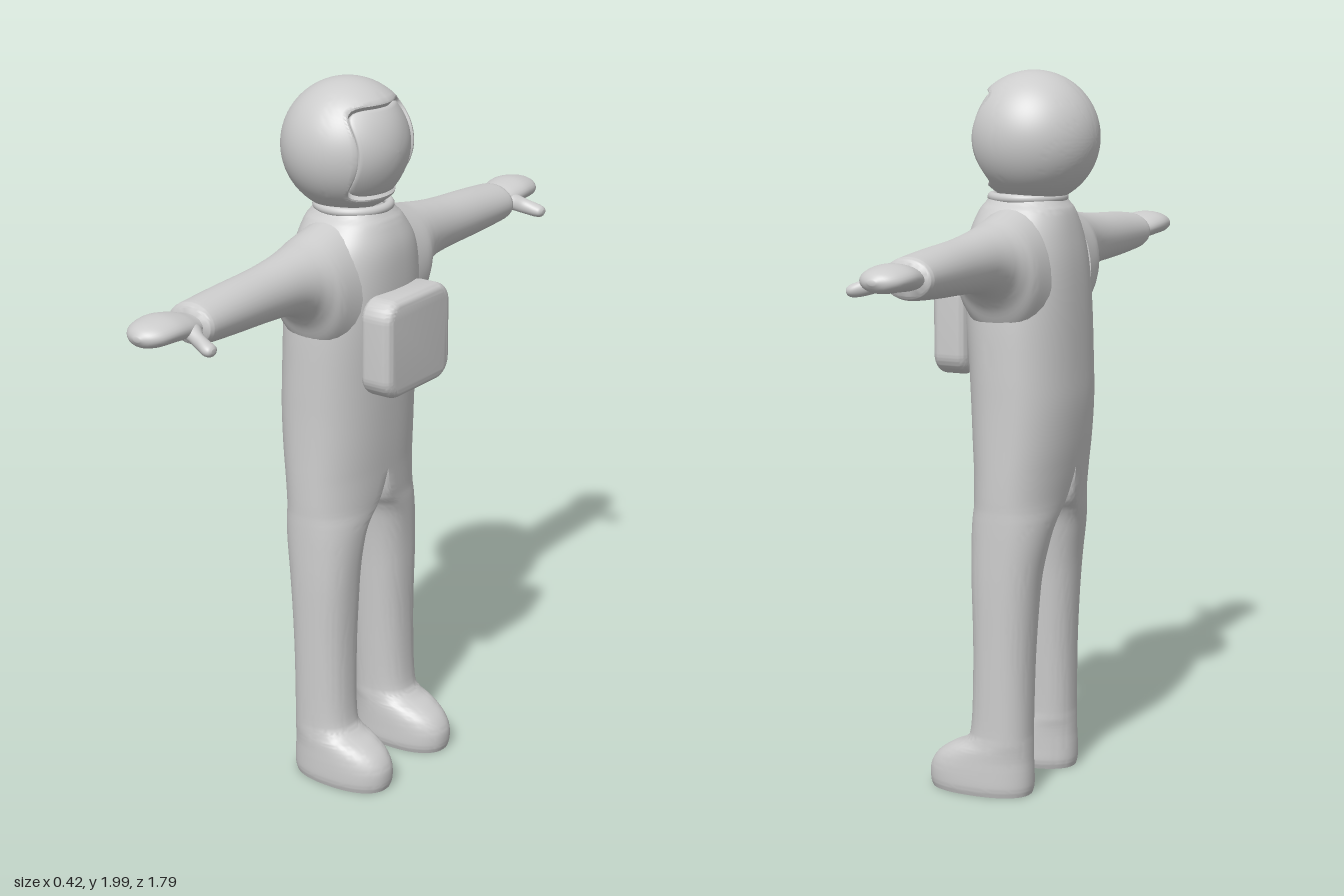
import * as THREE from 'three';
import { toCreasedNormals } from 'three/addons/utils/BufferGeometryUtils.js';

const TAU = Math.PI * 2;
const lerp = THREE.MathUtils.lerp;
const suitGrey = new THREE.MeshStandardMaterial({ color: 0xcccccc });
suitGrey.name = 'suit grey';

// Closed rings of points: point(row, t) returns [x, y, z]
function loft(rows, cols, point) {
  const pos = [], idx = [];
  rows.forEach((row) => {
    for (let j = 0; j < cols; j++) pos.push(...point(row, (j / cols) * TAU));
  });
  for (let i = 0; i < rows.length - 1; i++) {
    for (let j = 0; j < cols; j++) {
      const k = (j + 1) % cols;
      const a = i * cols + j, b = a + cols, c = i * cols + k, d = c + cols;
      idx.push(a, b, c, b, d, c);
    }
  }
  const g = new THREE.BufferGeometry();
  g.setAttribute('position', new THREE.Float32BufferAttribute(pos, 3));
  g.setIndex(idx);
  g.computeVertexNormals();
  return g;
}

// Fill in rows with a Catmull-Rom curve through every column
function smooth(rows, n = 5) {
  const out = [], last = rows.length - 1;
  for (let i = 0; i < last; i++) {
    const [p, a, b, q] = [rows[Math.max(i - 1, 0)], rows[i], rows[i + 1], rows[Math.min(i + 2, last)]];
    for (let s = 0; s < n; s++) {
      const t = s / n;
      out.push(a.map((v, c) => {
        const square = 2 * p[c] - 5 * v + 4 * b[c] - q[c];
        const cube = 3 * (v - b[c]) + q[c] - p[c];
        return v + 0.5 * t * (b[c] - p[c] + t * (square + t * cube));
      }));
    }
  }
  out.push(rows[last]);
  return out;
}

// Shrink a row [s, lo, hi, lo, hi] to its centre to close an end
function capRow([s, a, b, c, d]) {
  return [s, (a + b) / 2, (a + b) / 2, (c + d) / 2, (c + d) / 2];
}

// Rounded limb: along z rows are [z, yLo, yHi, xLo, xHi], along x [x, yLo, yHi, zLo, zHi]
function limb(rows, alongX = false) {
  const r = smooth(rows);
  return loft([capRow(r[0]), ...r, capRow(r[r.length - 1])], 32, ([s, a, b, c, d], t) => {
    const u = alongX ? Math.cos(t) : -Math.sin(t);
    const v = alongX ? -Math.sin(t) : Math.cos(t);
    const y = (a + b) / 2 + ((b - a) / 2) * u;
    const w = (c + d) / 2 + ((d - c) / 2) * v;
    return alongX ? [s, y, w] : [w, y, s];
  });
}

// Copy reflected across the z = 0 plane
function mirrored(geo) {
  const g = geo.index ? geo.toNonIndexed() : geo.clone();
  for (const name of ['position', 'normal']) {
    const at = g.attributes[name];
    for (let i = 0; i < at.count; i += 3) {
      const v = [0, 1, 2].map((k) => new THREE.Vector3().fromBufferAttribute(at, i + k));
      [0, 2, 1].forEach((k, n) => at.setXYZ(i + n, v[k].x, v[k].y, -v[k].z));
    }
  }
  return g;
}

// Half of the suit: [y, xBack, xFront, zInner, zOuter, leg amount]
function halfSuit() {
  const rows = smooth([
    [0.008, -0.095, 0.2, 0.065, 0.228, 1],
    [0.03, -0.1, 0.206, 0.058, 0.234, 1],
    [0.07, -0.1, 0.204, 0.058, 0.234, 1],
    [0.105, -0.098, 0.183, 0.059, 0.232, 1],
    [0.132, -0.097, 0.145, 0.061, 0.23, 1],
    [0.155, -0.096, 0.098, 0.063, 0.227, 1],
    [0.2, -0.095, 0.076, 0.064, 0.225, 1],
    [0.4, -0.098, 0.07, 0.055, 0.226, 1],
    [0.6, -0.111, 0.076, 0.044, 0.228, 1],
    [0.72, -0.13, 0.083, 0.038, 0.227, 0.85],
    [0.78, -0.141, 0.088, 0.032, 0.226, 0.62],
    [0.815, -0.147, 0.091, 0.004, 0.225, 0.4],
    [0.85, -0.153, 0.095, 0, 0.225, 0.2],
    [0.92, -0.165, 0.101, 0, 0.224, 0],
    [1.0, -0.175, 0.107, 0, 0.222, 0],
    [1.1, -0.182, 0.113, 0, 0.22, 0],
    [1.2, -0.181, 0.119, 0, 0.219, 0],
    [1.36, -0.177, 0.131, 0, 0.215, 0],
    [1.48, -0.17, 0.135, 0, 0.2, 0],
    [1.56, -0.158, 0.13, 0, 0.175, 0],
    [1.62, -0.143, 0.11, 0, 0.135, 0],
    [1.645, -0.128, 0.093, 0, 0.11, 0],
    [1.665, -0.115, 0.08, 0, 0.095, 0],
  ]);
  const sole = [rows[0][0], 0.05, 0.05, 0.147, 0.147, 1];
  const power = (v) => Math.sign(v) * Math.abs(v) ** (2 / 2.3);
  const raw = loft([sole, ...rows], 64, ([y, x0, x1, z0, z1, k], t) => {
    const c = power(Math.cos(t)), s = power(Math.sin(t));
    const legZ = (z0 + z1) / 2 + ((z1 - z0) / 2) * s;
    const z = lerp(z1 * Math.max(0, s), legZ, THREE.MathUtils.clamp(k, 0, 1));
    return [(x0 + x1) / 2 + ((x1 - x0) / 2) * c, y, Math.max(0, z)];
  });
  const g = toCreasedNormals(raw, 0.9);
  // Level the normals on the centre line so both halves join smoothly
  const p = g.attributes.position, n = g.attributes.normal, v = new THREE.Vector3();
  for (let i = 0; i < p.count; i++) {
    if (p.getY(i) < 0.82 || p.getZ(i) > 1e-4) continue;
    v.set(n.getX(i), n.getY(i), 0);
    if (v.length() > 0.1) n.setXYZ(i, ...v.normalize().toArray());
  }
  return g;
}

// Helmet point at a given angle from the face direction
function helmetPoint(theta, phi, r) {
  const ring = r * Math.sin(theta);
  return [-0.036 + r * Math.cos(theta), 1.819 - ring * Math.sin(phi), ring * Math.cos(phi)];
}
// Angle at which the rounded-square face opening lies
function openingAngle(phi) {
  const p = 5.5;
  const across = (Math.abs(Math.cos(phi)) / 0.129) ** p;
  const up = (Math.abs(Math.sin(phi)) / 0.128) ** p;
  return Math.asin((across + up) ** (-1 / p) / 0.181);
}

export function createModel() {
  const model = new THREE.Group();
  model.name = 'spacesuitFigure';
  const add = (name, geo) => {
    const m = new THREE.Mesh(geo, suitGrey);
    m.name = name;
    model.add(m);
    return m;
  };
  const addPair = (name, geo) => {
    add(name + 'Right', geo);
    add(name + 'Left', mirrored(geo));
  };

  // Torso and legs
  addPair('suitHalf', halfSuit());

  // Sleeves flaring into the shoulders
  addPair('sleeve', toCreasedNormals(limb([
    [0.13, 1.25, 1.632, -0.15, 0.108],
    [0.2, 1.31, 1.612, -0.142, 0.1],
    [0.235, 1.37, 1.603, -0.126, 0.086],
    [0.27, 1.405, 1.597, -0.11, 0.073],
    [0.33, 1.425, 1.588, -0.096, 0.062],
    [0.42, 1.432, 1.578, -0.09, 0.056],
    [0.55, 1.437, 1.57, -0.09, 0.055],
    [0.66, 1.444, 1.561, -0.09, 0.055],
    [0.695, 1.449, 1.556, -0.089, 0.053],
    [0.705, 1.46, 1.545, -0.079, 0.043],
  ]), 0.9));

  // Mitten gloves
  addPair('glove', limb([
    [0.68, 1.475, 1.53, -0.06, 0.025],
    [0.71, 1.475, 1.534, -0.072, 0.03],
    [0.75, 1.477, 1.546, -0.09, 0.038],
    [0.8, 1.481, 1.553, -0.098, 0.041],
    [0.85, 1.483, 1.547, -0.09, 0.033],
    [0.88, 1.49, 1.536, -0.067, 0.012],
    [0.895, 1.508, 1.52, -0.035, -0.015],
  ]));
  addPair('thumb', limb([
    [-0.01, 1.485, 1.53, 0.7, 0.765],
    [0.03, 1.475, 1.522, 0.712, 0.768],
    [0.06, 1.465, 1.508, 0.735, 0.774],
    [0.09, 1.459, 1.497, 0.743, 0.786],
    [0.107, 1.461, 1.49, 0.748, 0.785],
    [0.114, 1.47, 1.482, 0.76, 0.776],
  ], true));

  // Neck ring
  const collar = new THREE.TorusGeometry(0.098, 0.013, 16, 64);
  collar.rotateX(Math.PI / 2);
  add('neckRing', collar).position.set(-0.018, 1.657, 0);

  // Helmet shell with an inward lip round the face opening
  const shellRows = [[0, 0.15], [0, 0.178], [0.012, 0.181]];
  for (let i = 1; i <= 32; i++) shellRows.push([0.012 + (0.988 * i) / 32, 0.181]);
  add('helmetShell', toCreasedNormals(loft(shellRows, 96, ([s, r], phi) =>
    helmetPoint(lerp(openingAngle(phi), Math.PI, s), phi, r)), 0.7));

  // Recessed visor
  const visorRows = [];
  for (let i = 0; i <= 14; i++) visorRows.push([(i / 14) * 0.95, 0.166 + 0.004 * (i / 14) ** 2]);
  visorRows.push([0.98, 0.166], [1, 0.155]);
  add('visor', loft(visorRows, 96, ([s, r], phi) => helmetPoint(openingAngle(phi) * s, phi, r)));

  // Chest pack
  const w = 0.125, h = 0.113, c = 0.035;
  const outline = new THREE.Shape();
  outline.absarc(w - c, h - c, c, 0, Math.PI / 2);
  outline.absarc(c - w, h - c, c, Math.PI / 2, Math.PI);
  outline.absarc(c - w, c - h, c, Math.PI, Math.PI * 1.5);
  outline.absarc(w - c, c - h, c, Math.PI * 1.5, TAU);
  const pack = new THREE.ExtrudeGeometry(outline, {
    depth: 0.05, bevelThickness: 0.025, bevelSize: 0.025, bevelSegments: 6, curveSegments: 10,
  });
  pack.rotateY(Math.PI / 2);
  add('chestPack', toCreasedNormals(pack, 0.7)).position.set(0.13, 1.308, 0);

  return model;
}
